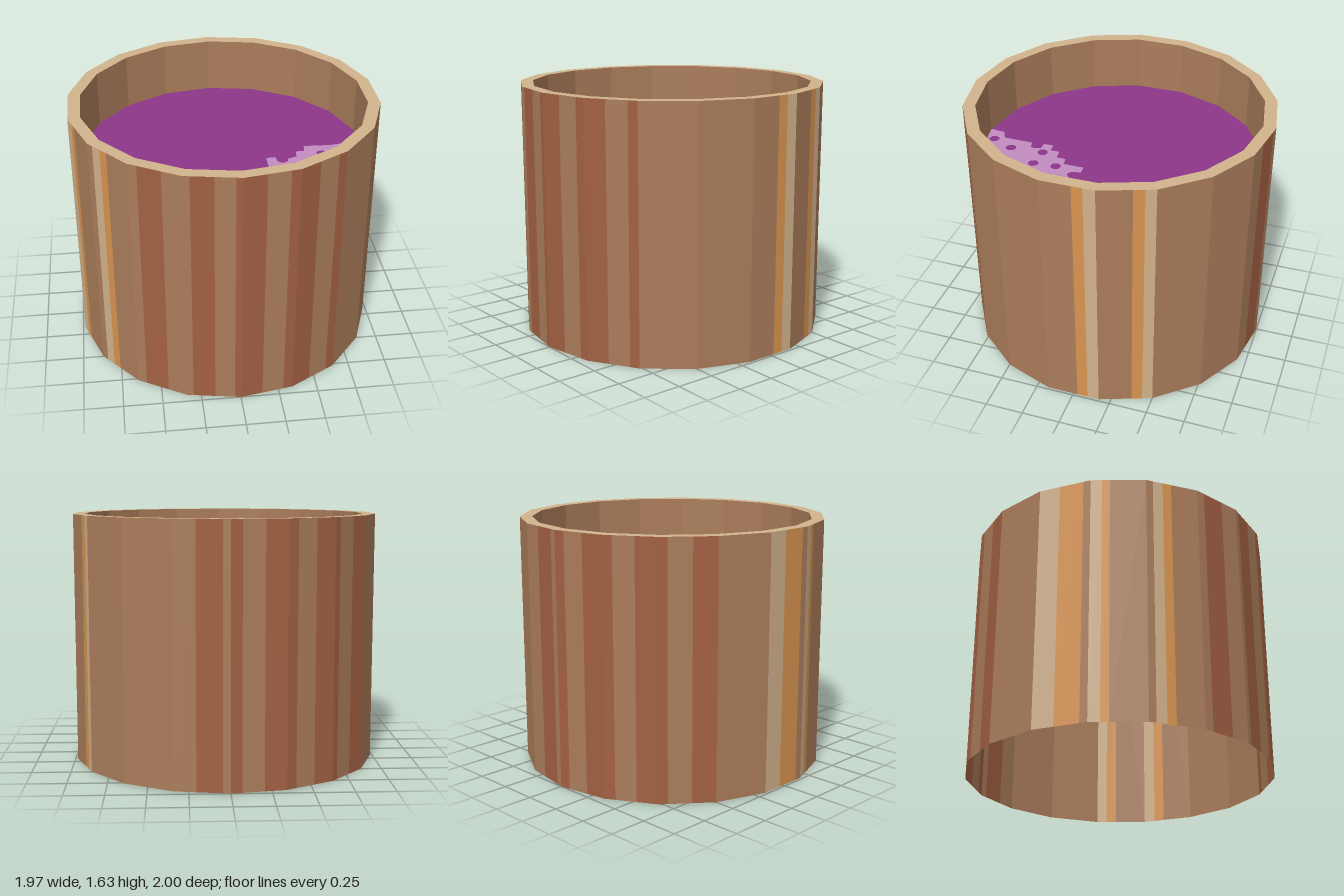
import * as THREE from 'three';

const SIDES = 18, STEP = 360 / SIDES;
const HEIGHT = 1.63, OUTER = 1, INNER = 0.92, LIQUID_Y = 1.265;

function material(name, color, flatShading = true) {
  const m = new THREE.MeshStandardMaterial({ color, flatShading, side: THREE.DoubleSide });
  m.name = name;
  return m;
}

// Point on the faceted rim at an angle in degrees, measured from +z towards +x
function rimPoint(deg, radius) {
  const k = Math.floor(deg / STEP), t = deg / STEP - k;
  const corner = (i) => {
    const a = THREE.MathUtils.degToRad(i * STEP);
    return new THREE.Vector2(Math.sin(a) * radius, Math.cos(a) * radius);
  };
  return corner(k).lerp(corner(k + 1), t);
}

// Vertical wall strips over a list of [from, to] angles, split at the facet corners
function wallStrips(spans) {
  const pos = [];
  for (const [from, to] of spans) {
    for (let a = from; a < to - 1e-6;) {
      const b = Math.min(to, (Math.floor(a / STEP + 1e-6) + 1) * STEP);
      const p = rimPoint(a, OUTER), q = rimPoint(b, OUTER);
      pos.push(p.x, 0, p.y, q.x, 0, q.y, q.x, HEIGHT, q.y);
      pos.push(p.x, 0, p.y, q.x, HEIGHT, q.y, p.x, HEIGHT, p.y);
      a = b;
    }
  }
  const g = new THREE.BufferGeometry();
  g.setAttribute('position', new THREE.Float32BufferAttribute(pos, 3));
  g.computeVertexNormals();
  return g;
}

// Foam patch with a ragged inner edge and round bubbles
function foamGeometry() {
  const edge = [
    [0.905, 0.005], [0.71, 0.04], [0.53, 0.035], [0.52, 0.1], [0.465, 0.1], [0.46, 0.165],
    [0.4, 0.19], [0.395, 0.22], [0.36, 0.24], [0.33, 0.22], [0.32, 0.16], [0.26, 0.165],
    [0.26, 0.3], [0.2, 0.31], [0.2, 0.37], [0.13, 0.38], [0.13, 0.44], [0.07, 0.445],
    [0.07, 0.51], [0.125, 0.51], [0.14, 0.55], [0.13, 0.58], [0.08, 0.59], [0.075, 0.79],
    [0.01, 0.82], [0, INNER],
  ];
  for (let d = STEP; d <= 80; d += STEP) {
    const p = rimPoint(d, INNER);
    edge.push([p.x, p.y]);
  }
  const shape = new THREE.Shape(edge.map(([x, z]) => new THREE.Vector2(x, -z)));
  const bubbles = [[0.63, 0.14], [0.43, 0.28], [0.3, 0.34], [0.31, 0.49], [0.17, 0.48], [0.18, 0.7], [0.11, 0.85]];
  for (const [x, z] of bubbles) {
    shape.holes.push(new THREE.Path().absarc(x, -z, 0.035, 0, Math.PI * 2, true));
  }
  return new THREE.ShapeGeometry(shape, 4).rotateX(-Math.PI / 2);
}

export function createModel() {
  const brown = material('brown wood', 0xab7d5b);
  const red = material('reddish wood', 0xa26042);
  const orange = material('orange wood', 0xd8944f);
  const tan = material('tan wood', 0xd2b28c);
  const purple = material('purple liquid', 0x8d368a);
  const lilac = material('lilac foam', 0xc18dc0);

  const group = new THREE.Group();
  group.name = 'tub';
  const add = (name, geometry, mat, y = 0) => {
    const mesh = new THREE.Mesh(geometry, mat);
    mesh.name = name;
    mesh.position.y = y;
    group.add(mesh);
  };

  // Stripes of wood grain round the outside; the gaps between them are plain brown
  const grain = {
    red: [[-36.5, -27.5], [-17.5, -9.5], [-2.3, 8.3], [16.5, 28.2], [36.4, 40], [168, 177.2],
      [180, 184], [192, 204], [211.8, 223], [231.5, 240]],
    orange: [[91.6, 95.6], [112.2, 116.2], [268, 277.2], [284.1, 287], [306.4, 309.7]],
    tan: [[95.6, 100], [116.2, 120], [260, 268], [280, 284.1], [302.6, 306.4]],
  };
  const stripes = Object.values(grain).flat()
    .map(([a, b]) => (a < -36.5 - 1e-6 ? [a + 360, b + 360] : [a, b]))
    .sort((s, t) => s[0] - t[0]);
  const plain = stripes
    .map(([, end], i) => [end, i + 1 < stripes.length ? stripes[i + 1][0] : stripes[0][0] + 360])
    .filter(([a, b]) => b - a > 0.01);
  add('outerWall', wallStrips(plain), brown);
  add('redGrain', wallStrips(grain.red), red);
  add('orangeGrain', wallStrips(grain.orange), orange);
  add('tanGrain', wallStrips(grain.tan), tan);

  // Rim and the inside wall down to the liquid
  add('rim', new THREE.RingGeometry(INNER, OUTER, SIDES, 1, Math.PI / 2).rotateX(-Math.PI / 2), tan, HEIGHT);
  const depth = HEIGHT - LIQUID_Y;
  const inside = new THREE.CylinderGeometry(INNER, INNER, depth, SIDES, 1, true);
  add('innerWall', inside, brown, LIQUID_Y + depth / 2);

  // Liquid and foam
  add('liquid', new THREE.CircleGeometry(INNER, SIDES, Math.PI / 2).rotateX(-Math.PI / 2), purple, LIQUID_Y);
  add('foam', foamGeometry(), lilac, LIQUID_Y + 0.005);
  return group;
}
